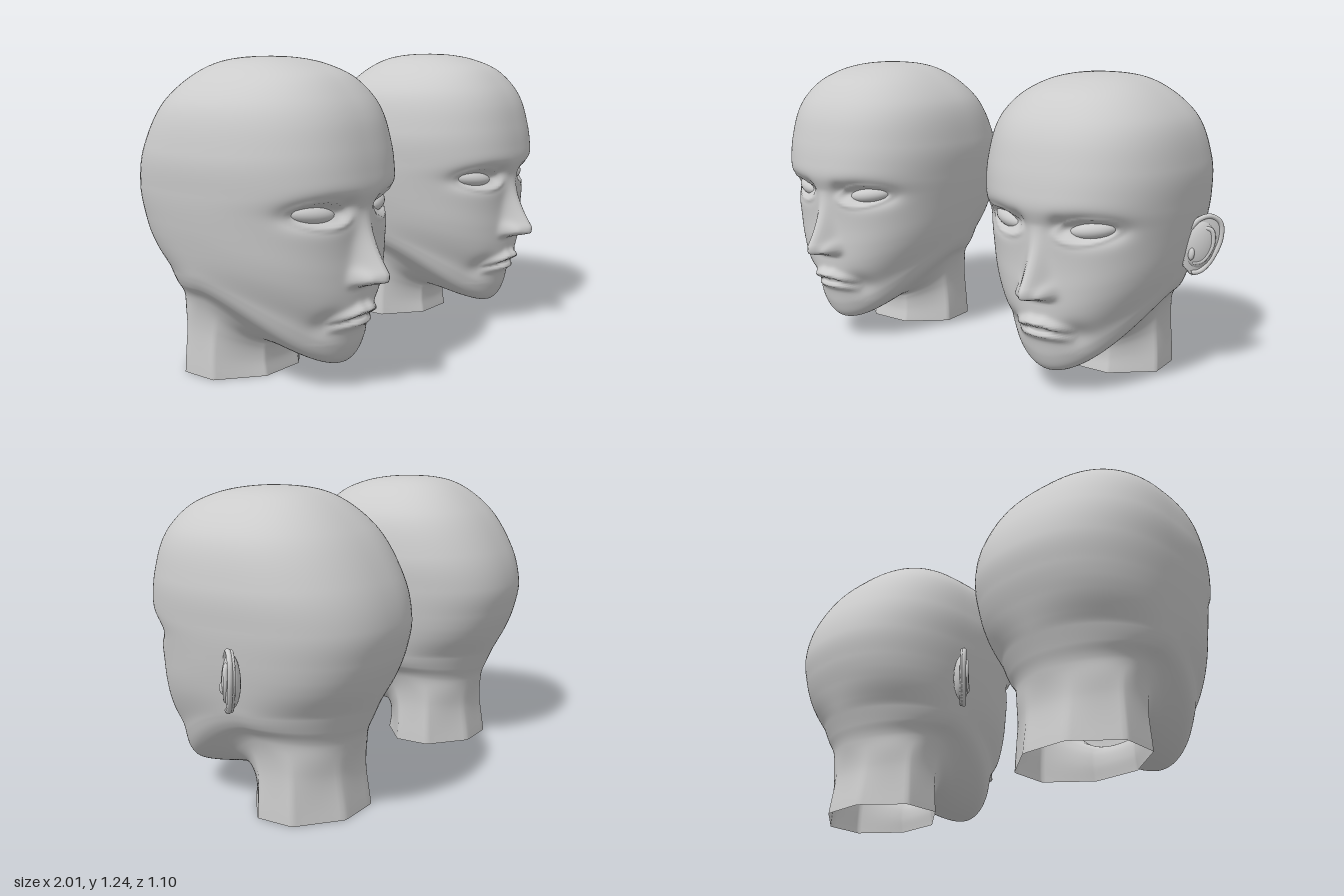
import * as THREE from 'three';
import { toCreasedNormals } from 'three/addons/utils/BufferGeometryUtils.js';

const skin = new THREE.MeshStandardMaterial({ color: 0xcccccc, side: THREE.DoubleSide });
const { smoothstep, clamp, lerp } = THREE.MathUtils;
const spline = (pts) => new THREE.CatmullRomCurve3(pts.map((p) => new THREE.Vector3(...p)), false, 'catmullrom', 0.5);

// Guide curves run from just across the crown down to the neck base.
// Midline of forehead, face, under-jaw and throat: [z, y]
const frontCurve = spline([
  [-0.22, 1.215], [-0.12, 1.235], [-0.01, 1.243], [0.10, 1.236], [0.20, 1.215], [0.30, 1.173], [0.377, 1.10],
  [0.425, 1.02], [0.455, 0.92], [0.47, 0.84], [0.475, 0.77], [0.455, 0.70], [0.44, 0.62], [0.435, 0.54],
  [0.437, 0.46], [0.437, 0.38], [0.43, 0.31], [0.405, 0.235], [0.39, 0.17], [0.365, 0.118], [0.325, 0.096],
  [0.24, 0.10], [0.14, 0.117], [0.055, 0.133], [0.03, 0.112], [0.022, 0.06], [0.03, 0],
].map(([z, y]) => [0, y, z]));

// Widest line of the skull, jaw hinge and neck: [x, y, z]
const sideCurve = spline([
  [-0.20, 1.21, -0.03], [0, 1.243, -0.01], [0.20, 1.21, -0.03], [0.358, 1.08, -0.05], [0.41, 0.90, -0.07],
  [0.407, 0.75, -0.08], [0.392, 0.63, -0.08], [0.374, 0.535, -0.08], [0.358, 0.465, -0.085], [0.346, 0.42, -0.09],
  [0.326, 0.38, -0.10], [0.278, 0.32, -0.14], [0.253, 0.20, -0.175], [0.256, 0, -0.18],
]);

// Back of the skull and nape: [z, y]
const backCurve = spline([
  [0.20, 1.215], [-0.01, 1.243], [-0.22, 1.213], [-0.39, 1.085], [-0.505, 0.905], [-0.549, 0.75], [-0.533, 0.63],
  [-0.498, 0.53], [-0.468, 0.46], [-0.445, 0.41], [-0.421, 0.355], [-0.396, 0.29], [-0.377, 0.17], [-0.397, 0],
].map(([z, y]) => [0, y, z]));

const bump = (x, y, cx, cy, sx, sy) => Math.exp(-(((x - cx) / sx) ** 2) - ((y - cy) / sy) ** 2);

// Forward displacement that models the facial features
function faceRelief(px, y) {
  const x = Math.abs(px);
  let d = 0;
  // eye sockets and eyelid rims
  d -= 0.066 * bump(x, y, 0.18, 0.70, 0.088, 0.046);
  d -= 0.025 * bump(x, y, 0.09, 0.705, 0.03, 0.035);
  d -= 0.022 * bump(x, y, 0.265, 0.70, 0.05, 0.04);
  const eyeY = 0.694 + 0.12 * (x - 0.177);
  const ring = Math.hypot((x - 0.177) / 0.1, (y - eyeY) / 0.046);
  d += 0.011 * Math.exp(-(((ring - 1) / 0.18) ** 2));
  // nose ridge, tip and wings
  const p = clamp((0.71 - y) / 0.24, 0, 1);
  const under = smoothstep(y, 0.405, 0.445);
  d += 0.116 * p ** 1.3 * under * Math.exp(-((x / lerp(0.03, 0.047, p)) ** 2));
  d += 0.04 * under * bump(x, y, 0.055, 0.447, 0.023, 0.032);
  // lips and mouth corners
  const k = clamp(1 - (x / 0.128) ** 2, 0, 1);
  const mouth = 0.29 - 0.8 * x * x;
  const cupid = 0.004 * bump(x, 0, 0.03, 0, 0.02, 1);
  d += 0.034 * k ** 0.7 * bump(0, y, 0, mouth + 0.012 + 0.019 * k + cupid, 1, 0.019);
  d += 0.022 * k ** 0.7 * bump(0, y, 0, mouth - 0.021, 1, 0.016);
  d -= 0.012 * k ** 0.7 * bump(0, y, 0, mouth, 1, 0.008);
  d -= 0.018 * bump(x, y, 0.135, 0.285, 0.045, 0.05);
  return d;
}

// Skin: tilted superellipse rings lofted through the guide curves, finer at the
// face and turning into an octagon at the neck base
function headGeometry(rows = 192, cols = 136) {
  const pos = [], index = [];
  for (let r = 0; r <= rows; r++) {
    const t = lerp(2 / 26, 1, r / rows);
    const F = frontCurve.getPoint(t), S = sideCurve.getPoint(t), B = backCurve.getPoint(t);
    const n = 2.4 - 0.5 * smoothstep(t, 0.5, 0.68) + 0.3 * smoothstep(t, 0.84, 0.92);
    const facet = smoothstep(t, 0.86, 0.99);
    for (let c = 0; c < cols; c++) {
      const v = (c / cols) * Math.PI * 2;
      const a = v - 0.6 * Math.sin(v);
      const sin = Math.sin(a), cos = Math.cos(a);
      const si = Math.abs(sin), co = Math.abs(cos);
      const E = cos >= 0 ? F : B;
      const oct = Math.min(1 / Math.max(si, co), 1.37 / (si + co));
      const u = lerp(si ** (2 / n), si * oct, facet);
      const w = lerp(co ** (2 / n), co * oct, facet);
      const x = S.x * Math.sign(sin) * u;
      const y = S.y + (E.y - S.y) * w ** 1.7;
      let z = S.z + (E.z - S.z) * w;
      if (z > 0.1 && y > 0.2) z += faceRelief(x, y);
      pos.push(x, y, z);
      if (r < rows) {
        const A = r * cols + c, C = r * cols + ((c + 1) % cols);
        if (r > 0) index.push(A, A + cols, C);
        index.push(C, A + cols, C + cols);
      }
    }
  }
  const geo = new THREE.BufferGeometry();
  geo.setAttribute('position', new THREE.Float32BufferAttribute(pos, 3));
  geo.setIndex(index);
  geo.computeVertexNormals();
  for (let c = 0; c < cols; c++) geo.attributes.normal.setXYZ(c, 0, 1, 0);
  return geo;
}

function part(name, geo) {
  const mesh = new THREE.Mesh(geo, skin);
  mesh.name = name;
  return mesh;
}

function ellipsoid(name, scale, position) {
  const mesh = part(name, new THREE.SphereGeometry(1, 32, 20));
  mesh.scale.set(...scale);
  mesh.position.set(...position);
  return mesh;
}

// Left ear: thin pan with a rounded back, rolled rim, inner fold and front flap
function makeEar() {
  const ear = new THREE.Group();
  ear.name = 'ear';
  const outline = [[0, -0.085], [0.0, 0.06], [0.035, 0.102], [0.085, 0.118], [0.13, 0.09], [0.137, 0.02], [0.108, -0.06], [0.07, -0.105], [0.03, -0.116]]
    .map((p) => new THREE.Vector2(...p));
  const shape = new THREE.Shape(outline.slice(0, 2));
  shape.splineThru(outline.slice(2));
  const pan = new THREE.ExtrudeGeometry(shape, { depth: 0.006, bevelThickness: 0.006, bevelSize: 0.006, bevelSegments: 3, curveSegments: 40 });
  ear.add(part('earPan', toCreasedNormals(pan, 0.9)));
  ear.add(ellipsoid('earBack', [0.068, 0.1, 0.034], [0.055, 0, 0]));
  const tube = (name, pts, radius) => ear.add(part(name, new THREE.TubeGeometry(spline(pts), 48, radius, 10)));
  tube('earRim', outline.slice(1).map((p) => [p.x, p.y, 0.012]), 0.01);
  tube('earFold', [[0.055, 0.07, 0.012], [0.092, 0.06, 0.024], [0.1, 0, 0.024], [0.07, -0.06, 0.022], [0.03, -0.075, 0.014]], 0.009);
  ear.add(ellipsoid('earFlap', [0.012, 0.026, 0.014], [0.016, -0.035, 0.024]));
  ear.position.set(0.372, 0.578, -0.075);
  ear.rotation.set(0, 0.8, -0.08);
  return ear;
}

// Left eye, tilted and turned outwards
function makeEye() {
  const eye = ellipsoid('eye', [0.1, 0.041, 0.06], [0.177, 0.694, 0.328]);
  eye.rotation.set(0, 0.5, 0.12);
  return eye;
}

export function createModel() {
  const model = new THREE.Group();
  model.name = 'mannequinHeads';
  const skinGeo = headGeometry();

  const addHead = (name, x, withEars) => {
    const head = new THREE.Group();
    head.name = name;
    head.position.x = x;
    head.add(part('faceSkullAndNeck', skinGeo));
    for (const s of [1, -1]) {
      const side = new THREE.Group();
      side.name = s > 0 ? 'leftSide' : 'rightSide';
      side.scale.x = s;
      side.add(makeEye());
      if (withEars) side.add(makeEar());
      head.add(side);
    }
    model.add(head);
  };

  addHead('headWithoutEars', -0.59, false);
  addHead('headWithEars', 0.515, true);
  return model;
}
